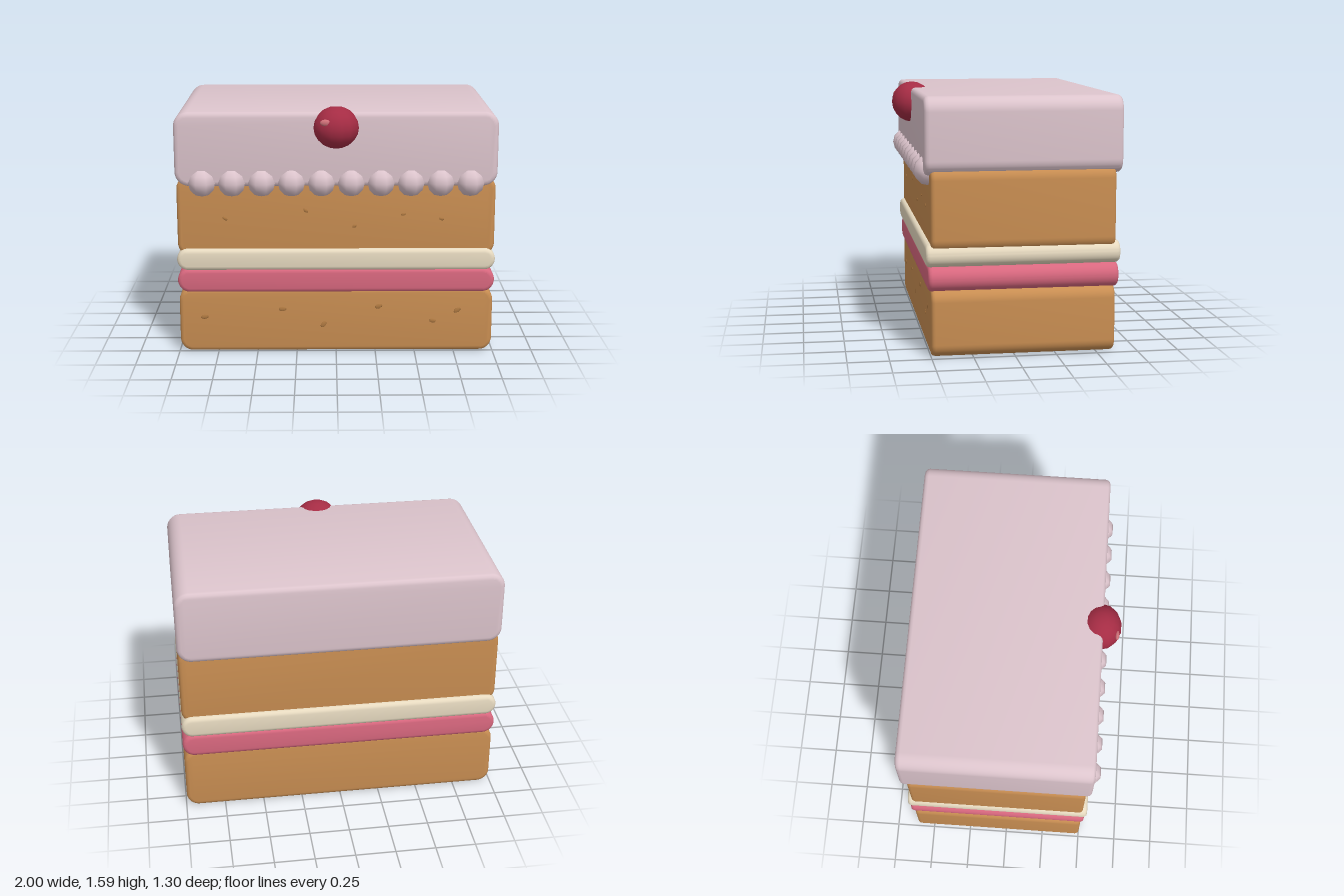
import * as THREE from 'three';
import { toCreasedNormals } from 'three/addons/utils/BufferGeometryUtils.js';

const paint = (name, color) => {
  const m = new THREE.MeshStandardMaterial({ color });
  m.name = name;
  return m;
};

// Rounded slab: rounded rectangle in x/y, extruded along z with a soft bevel
function slab(halfW, y0, y1, z0, z1, radius, bevel) {
  const w = halfW - bevel, b = y0 + bevel, t = y1 - bevel;
  const r = Math.min(radius - bevel, (t - b) / 2 - 0.001);
  const s = new THREE.Shape();
  s.moveTo(-w + r, b);
  s.lineTo(w - r, b);
  s.absarc(w - r, b + r, r, -Math.PI / 2, 0);
  s.absarc(w - r, t - r, r, 0, Math.PI / 2);
  s.absarc(-w + r, t - r, r, Math.PI / 2, Math.PI);
  s.absarc(-w + r, b + r, r, Math.PI, Math.PI * 1.5);
  const g = new THREE.ExtrudeGeometry(s, {
    depth: z1 - z0 - 2 * bevel, bevelEnabled: true, bevelThickness: bevel,
    bevelSize: bevel, bevelSegments: 3, curveSegments: 6,
  });
  g.translate(0, 0, z0 + bevel);
  return toCreasedNormals(g, 0.6);
}

export function createModel() {
  const cake = new THREE.Group();
  cake.name = 'cakeSlice';

  const sponge = paint('sponge', 0xc98e52);
  const crumb = paint('crumb', 0xb07a42);
  const jam = paint('jam', 0xd9687f);
  const cream = paint('cream', 0xe9dcc2);
  const frosting = paint('frosting', 0xdcc4cc);
  const cherryRed = paint('cherry red', 0xa52c44);
  const shine = paint('cherry shine', 0xcf7078);

  const add = (name, geometry, material, x = 0, y = 0, z = 0) => {
    const m = new THREE.Mesh(geometry, material);
    m.name = name;
    m.position.set(x, y, z);
    cake.add(m);
    return m;
  };

  // Layers, bottom to top
  add('lowerSponge', slab(0.995, 0, 0.415, -0.61, 0.5, 0.08, 0.025), sponge);
  add('jamLayer', slab(1, 0.395, 0.55, -0.63, 0.517, 0.08, 0.025), jam);
  add('creamLayer', slab(1, 0.543, 0.68, -0.64, 0.53, 0.07, 0.025), cream);
  add('upperSponge', slab(0.995, 0.63, 1.14, -0.61, 0.5, 0.08, 0.025), sponge);
  add('frostingTop', slab(1, 1.085, 1.55, -0.65, 0.535, 0.09, 0.03), frosting);

  // Piped beads along the front lower edge of the frosting
  const beadGeometry = new THREE.SphereGeometry(0.09, 8, 6);
  beadGeometry.rotateY(Math.PI / 8);
  for (let i = 0; i < 10; i++) {
    add('pipedBead', beadGeometry, frosting, -0.832 + i * 0.185, 1.107, 0.5);
  }

  // Cherry with a small raised shine spot
  const cherry = add('cherry', new THREE.SphereGeometry(0.13, 14, 10), cherryRed, 0, 1.455, 0.52);
  cherry.scale.set(1.1, 1, 1);
  const spot = add('cherryShine', new THREE.SphereGeometry(0.034, 10, 6), shine, -0.066, 1.5, 0.622);
  spot.scale.set(1, 0.62, 0.4);

  // Shallow pores on the cut face: x, y, size, tilt
  const pores = [
    [-0.835, 0.23, 0.025, 0.2], [-0.34, 0.28, 0.025, 0], [-0.08, 0.177, 0.025, 0.9],
    [0.27, 0.297, 0.025, 0.3], [0.615, 0.2, 0.022, -0.2], [0.77, 0.27, 0.025, 0.6],
    [-0.695, 0.875, 0.018, -0.6], [-0.19, 0.925, 0.018, -0.7], [0.115, 0.825, 0.016, 0.5],
    [0.42, 0.9, 0.016, 0.2], [0.66, 0.87, 0.016, -0.3],
  ];
  const poreGeometry = new THREE.SphereGeometry(1, 8, 4);
  for (const [x, y, size, tilt] of pores) {
    const pore = add('spongePore', poreGeometry, crumb, x, y, 0.5);
    pore.scale.set(size, size * 0.6, 0.004);
    pore.rotation.z = tilt;
  }
  return cake;
}
